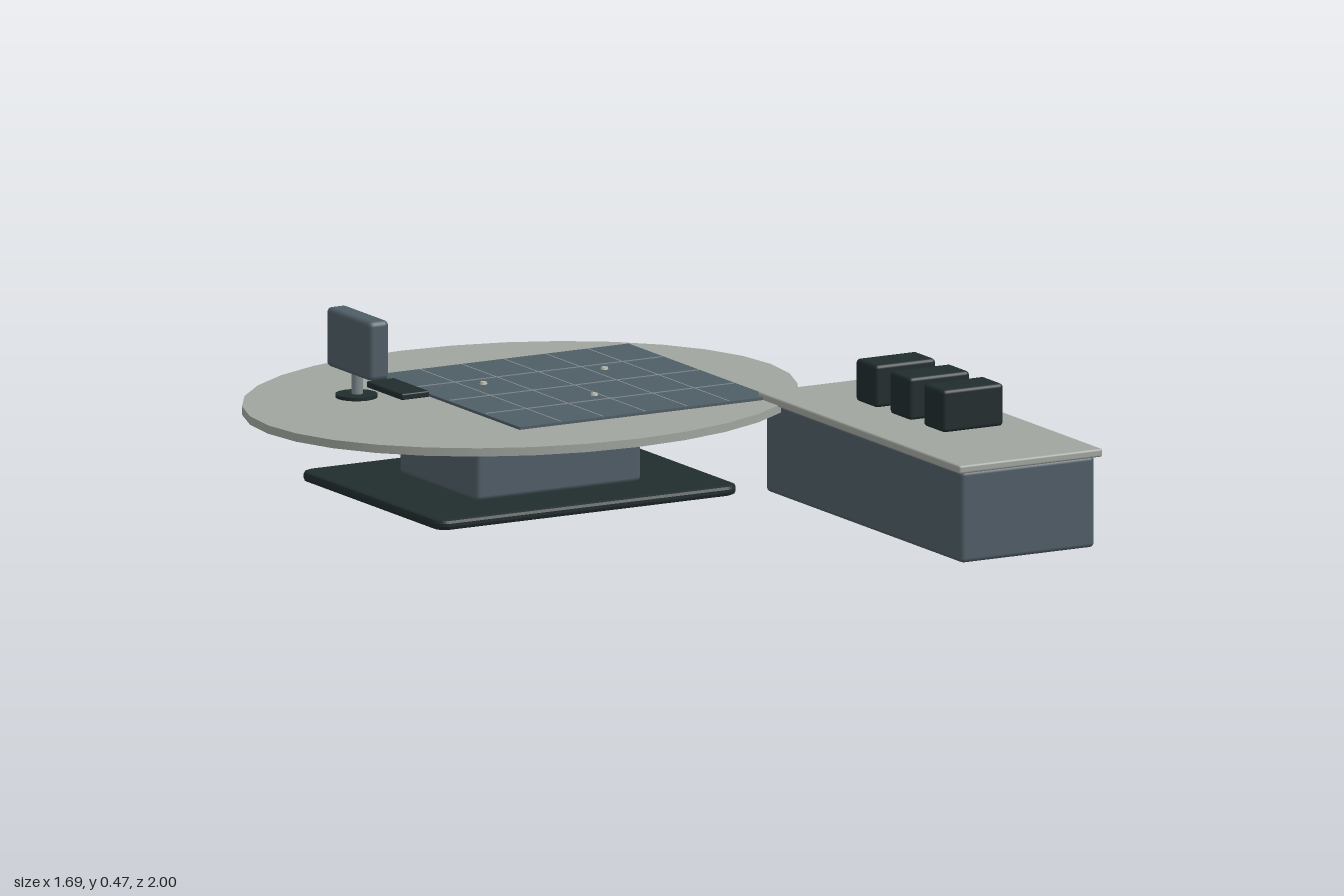
import * as THREE from 'three';
import { RoundedBoxGeometry } from 'three/addons/geometries/RoundedBoxGeometry.js';

export function createModel() {
  const model = new THREE.Group();
  model.name = 'workstation';
  const mat = (name, color) => {
    const m = new THREE.MeshStandardMaterial({ color });
    m.name = name;
    return m;
  };
  const stone = mat('pale grey top', 0xa0a59e);
  const slate = mat('slate blue', 0x4f5d66);
  const dark = mat('dark green black', 0x212c2d);
  const line = mat('grid line grey', 0x7f8b8f);
  const light = mat('light marking', 0xb9b8ab);

  const add = (name, geometry, material, x = 0, y = 0, z = 0) => {
    const mesh = new THREE.Mesh(geometry, material);
    mesh.name = name;
    mesh.position.set(x, y, z);
    model.add(mesh);
    return mesh;
  };
  // Box given by its limits, with an optional rounded edge
  const box = (name, material, [x0, x1], [y0, y1], [z0, z1], r = 0) => {
    const size = [x1 - x0, y1 - y0, z1 - z0];
    const g = r ? new RoundedBoxGeometry(...size, 2, r) : new THREE.BoxGeometry(...size);
    return add(name, g, material, (x0 + x1) / 2, (y0 + y1) / 2, (z0 + z1) / 2);
  };

  // Floor plinth with rounded corners
  const w = 0.44, d = 0.355, r = 0.03, b = 0.01;
  const outline = new THREE.Shape();
  outline.absarc(w - r, d - r, r, 0, Math.PI / 2);
  outline.absarc(-w + r, d - r, r, Math.PI / 2, Math.PI);
  outline.absarc(-w + r, -d + r, r, Math.PI, Math.PI * 1.5);
  outline.absarc(w - r, -d + r, r, Math.PI * 1.5, Math.PI * 2);
  const plinth = new THREE.ExtrudeGeometry(outline, {
    depth: 0.008, bevelThickness: b, bevelSize: b, bevelSegments: 2, curveSegments: 4,
  });
  plinth.rotateX(-Math.PI / 2);
  add('plinth', plinth, dark, -0.097, b, -0.385);

  // Pedestal and oval table top
  box('pedestal', slate, [-0.342, 0.148], [0.028, 0.224], [-0.583, -0.18], 0.012);
  const oval = add('ovalTop', new THREE.CylinderGeometry(1, 1, 0.022, 32), stone, -0.097, 0.234, -0.385);
  oval.scale.set(0.748, 1, 0.615);

  // Gridded mat
  const x0 = -0.31, x1 = 0.44, z0 = -0.755, z1 = -0.015;
  box('mat', slate, [x0, x1], [0.244, 0.252], [z0, z1]);
  for (let i = 1; i < 6; i++) {
    const x = x0 + (x1 - x0) * i / 6;
    box('gridLineLong', line, [x - 0.0025, x + 0.0025], [0.251, 0.2535], [z0 + 0.005, z1 - 0.005]);
  }
  for (let i = 1; i < 4; i++) {
    const z = z0 + (z1 - z0) * i / 4;
    box('gridLineCross', line, [x0 + 0.005, x1 - 0.005], [0.251, 0.2535], [z - 0.0025, z + 0.0025]);
  }
  for (const [x, z] of [[-0.13, -0.515], [0.23, -0.515], [0.05, -0.255]]) {
    add('marker', new THREE.CylinderGeometry(0.009, 0.011, 0.007, 5), light, x, 0.255, z);
  }

  // Keypad beside the mat
  box('keypad', dark, [-0.394, -0.311], [0.244, 0.261], [-0.662, -0.478], 0.004);

  // Monitor, facing +x
  add('monitorFoot', new THREE.CylinderGeometry(0.055, 0.055, 0.01, 16), dark, -0.475, 0.249, -0.572);
  add('monitorStem', new THREE.CylinderGeometry(0.015, 0.015, 0.07, 12), line, -0.473, 0.285, -0.572);
  box('monitorBody', slate, [-0.502, -0.442], [0.308, 0.465], [-0.686, -0.456], 0.014);
  box('monitorScreen', dark, [-0.444, -0.437], [0.328, 0.448], [-0.664, -0.478]);
  [[0.417, -0.57], [0.393, -0.578], [0.37, -0.583]].forEach(([y, z]) =>
    box('screenLine', light, [-0.438, -0.433], [y - 0.0035, y + 0.0035], [-0.638, z]));

  // Side cabinet with its worktop
  box('cabinet', slate, [0.43, 0.828], [0, 0.242], [-0.03, 0.985], 0.012);
  box('cabinetTop', stone, [0.415, 0.842], [0.24, 0.262], [-0.045, 1], 0.006);

  // Three storage blocks
  for (const z of [0.231, 0.407, 0.581]) {
    box('storageBlock', dark, [0.578, 0.758], [0.262, 0.374], [z - 0.053, z + 0.053], 0.01);
  }
  return model;
}
